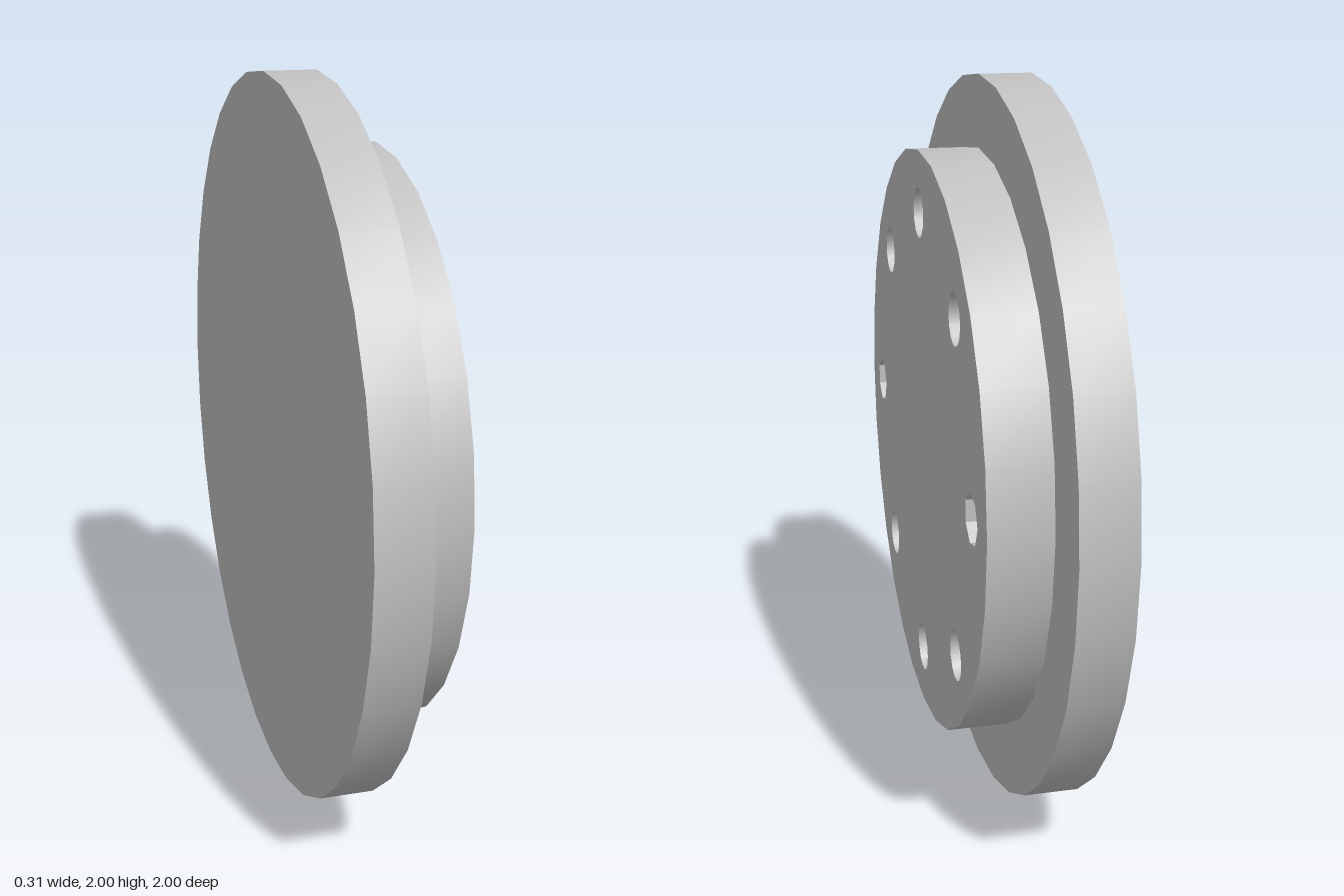
import * as THREE from 'three';
import { toCreasedNormals } from 'three/addons/utils/BufferGeometryUtils.js';

// Corners of a regular polygon, the first one on the +x side
function ring(radius, sides, cx = 0, cy = 0) {
  return Array.from({ length: sides }, (_, i) => {
    const a = (i / sides) * Math.PI * 2;
    return new THREE.Vector2(cx + radius * Math.cos(a), cy + radius * Math.sin(a));
  });
}

export function createModel() {
  const model = new THREE.Group();
  model.name = 'blindFlange';
  const steel = new THREE.MeshStandardMaterial({ color: 0xc0c0c0 });
  steel.name = 'steel grey';

  // Extrudes a shape along x, starting at x0, on the disc axis at y = 1
  function addPlate(name, shape, x0, depth) {
    const extruded = new THREE.ExtrudeGeometry(shape, { depth, bevelEnabled: false });
    extruded.rotateY(Math.PI / 2);
    const mesh = new THREE.Mesh(toCreasedNormals(extruded, 0.6), steel);
    mesh.name = name;
    mesh.position.set(x0, 1, 0);
    model.add(mesh);
  }

  // Wide solid disc; its face also closes the bolt holes
  addPlate('flangeDisc', new THREE.Shape(ring(1, 32)), -0.155, 0.145);

  // Raised boss with eight blind bolt holes; the two level ones are seven-sided
  const boss = new THREE.Shape(ring(0.807, 28));
  for (let i = 0; i < 8; i++) {
    const a = (i * Math.PI) / 4;
    const sides = i % 4 === 0 ? 7 : 14;
    boss.holes.push(new THREE.Path(ring(0.068, sides, 0.64 * Math.cos(a), 0.64 * Math.sin(a))));
  }
  addPlate('raisedBoss', boss, -0.01, 0.165);

  return model;
}
